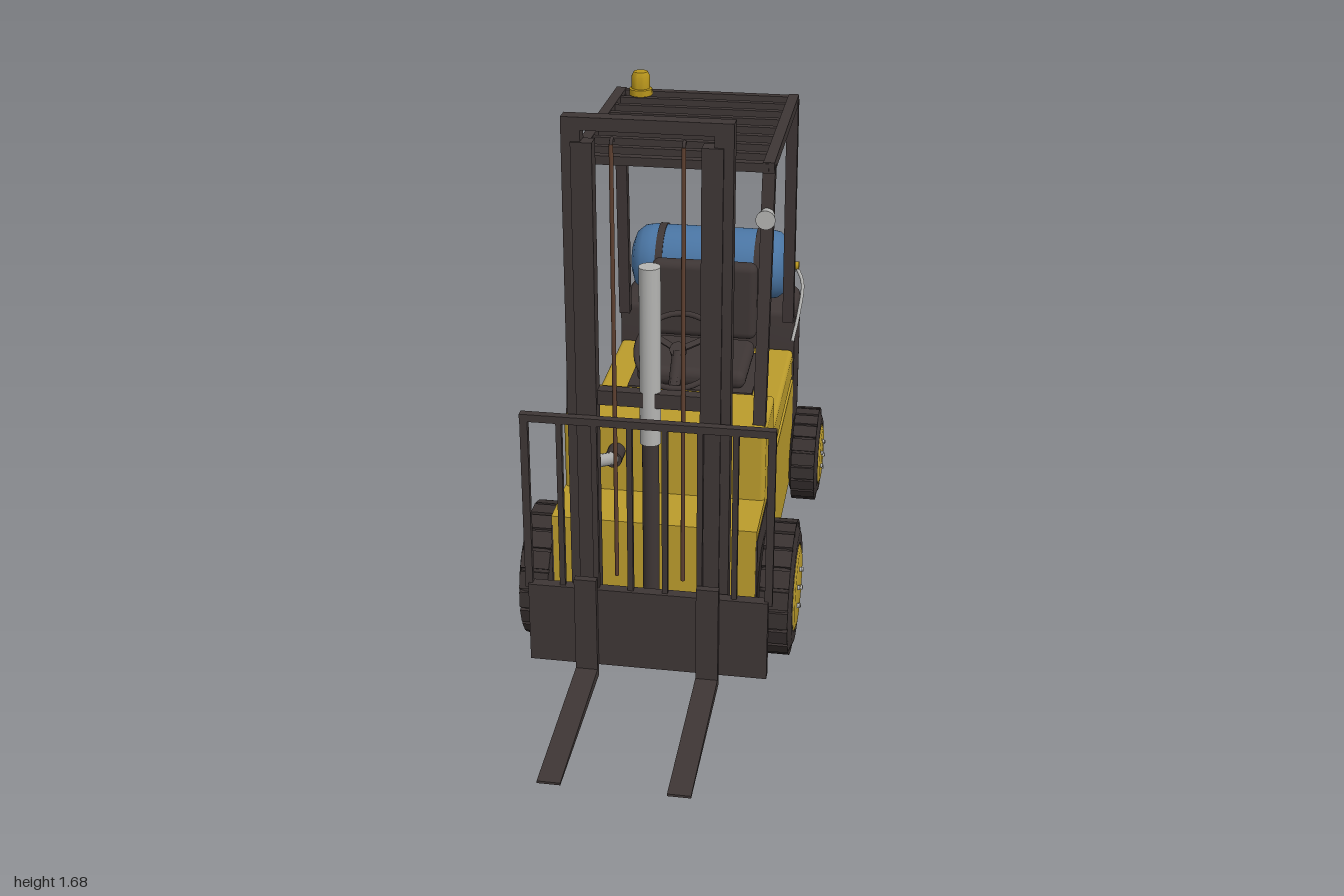
import * as THREE from 'three';
import { RoundedBoxGeometry } from 'three/addons/geometries/RoundedBoxGeometry.js';
import { toCreasedNormals } from 'three/addons/utils/BufferGeometryUtils.js';

const mat = (name, color) => Object.assign(new THREE.MeshStandardMaterial({ color }), { name });

export function createModel() {
  const yellow = mat('body yellow', 0xbb9c2c);
  const dark = mat('dark frame', 0x3e3635);
  const rubber = mat('tyre rubber', 0x383130);
  const blue = mat('tank blue', 0x4a75a3);
  const grey = mat('light grey metal', 0xb4b4b2);
  const brown = mat('chain brown', 0x5e4030);
  const amber = mat('beacon amber', 0xb8951c);

  const root = new THREE.Group();
  root.name = 'forklift';
  const add = (name, geo, m, x = 0, y = 0, z = 0, parent = root) => {
    const mesh = new THREE.Mesh(geo, m);
    mesh.name = name;
    mesh.position.set(x, y, z);
    parent.add(mesh);
    return mesh;
  };
  // Box given by its min and max on each axis, optionally rounded
  const box = (name, m, x0, x1, y0, y1, z0, z1, r = 0, parent = root) => {
    const s = [x1 - x0, y1 - y0, z1 - z0];
    const geo = r ? new RoundedBoxGeometry(...s, 3, r) : new THREE.BoxGeometry(...s);
    return add(name, geo, m, (x0 + x1) / 2, (y0 + y1) / 2, (z0 + z1) / 2, parent);
  };
  // Geometry standing on y, stretched between two points
  const between = (name, m, a, b, makeGeo) => {
    const A = new THREE.Vector3(...a), d = new THREE.Vector3(...b).sub(A);
    const mesh = add(name, makeGeo(d.length()), m);
    mesh.position.copy(A).addScaledVector(d, 0.5);
    mesh.quaternion.setFromUnitVectors(new THREE.Vector3(0, 1, 0), d.normalize());
    return mesh;
  };
  const rod = (name, m, a, b, r, r2 = r) => between(name, m, a, b, h => new THREE.CylinderGeometry(r2, r, h, 16));
  const beam = (name, m, a, b, w, d) => between(name, m, a, b, h => new THREE.BoxGeometry(w, h, d));
  const lathe = (pts, n = 40) =>
    toCreasedNormals(new THREE.LatheGeometry(pts.map(p => new THREE.Vector2(...p)), n), 0.6);

  // Chassis, cowl and seat hood
  box('chassis', yellow, -0.295, 0.295, 0.1, 0.465, -0.73, 0.36);
  box('frontDeck', yellow, -0.298, 0.298, 0.45, 0.48, 0.02, 0.363);
  box('cowl', yellow, -0.298, 0.298, 0.46, 0.715, -0.06, 0.175, 0.015);
  box('seatHood', yellow, -0.292, 0.292, 0.47, 0.58, -0.72, -0.065, 0.015);
  for (const s of [-1, 1]) box('wheelArch', dark, s * 0.296 - 0.004, s * 0.296 + 0.004, 0.15, 0.45, 0.022, 0.358);

  // Counterweight with rounded rear corners
  const cw = new THREE.Shape();
  cw.moveTo(-0.28, 0.74);
  cw.lineTo(0.28, 0.74);
  cw.lineTo(0.28, 0.92);
  cw.quadraticCurveTo(0.28, 0.985, 0.215, 0.985);
  cw.lineTo(-0.215, 0.985);
  cw.quadraticCurveTo(-0.28, 0.985, -0.28, 0.92);
  cw.closePath();
  const cwGeo = toCreasedNormals(new THREE.ExtrudeGeometry(cw, {
    depth: 0.57, bevelThickness: 0.02, bevelSize: 0.015, bevelSegments: 3, curveSegments: 8 }), 0.6);
  add('counterweight', cwGeo, dark, 0, 0.12, 0).rotation.x = -Math.PI / 2;

  // Wheels: tyre, tread blocks, hub and bolts; the wheel axis is local y, pointing outward
  const wheel = (name, s, y, z, R, hubR, x0, x1) => {
    const g = new THREE.Group();
    g.name = name;
    g.position.set(s * (x0 + x1) / 2, y, z);
    g.rotation.z = -s * Math.PI / 2;
    root.add(g);
    const w = (x1 - x0) / 2, r = R * 0.965;
    add('tyre', lathe([[0, -w], [hubR, -w], [r - 0.03, -w], [r - 0.008, -w + 0.01], [r, -w + 0.025], [r, w - 0.025],
      [r - 0.008, w - 0.01], [r - 0.03, w], [hubR + 0.005, w], [hubR, w - 0.008]]), rubber, 0, 0, 0, g);
    add('hub', lathe([[hubR + 0.001, w - 0.02], [hubR + 0.001, w], [hubR - 0.015, w + 0.005], [0, w + 0.007]]), yellow, 0, 0, 0, g);
    const n = 20;
    for (let i = 0; i < n; i++) {
      const a = i / n * Math.PI * 2;
      const block = new THREE.BoxGeometry(0.03, w * 2 - 0.018, R * Math.PI * 2 / n * 0.82);
      const b = add('treadBlock', block, rubber, Math.cos(a) * (R - 0.016), 0, Math.sin(a) * (R - 0.016), g);
      b.rotation.y = -a;
    }
    for (let i = 0; i < 6; i++) {
      const a = i / 6 * Math.PI * 2;
      add('bolt', new THREE.CylinderGeometry(0.007, 0.007, 0.012, 8), grey,
        Math.cos(a) * hubR * 0.48, w + 0.007, Math.sin(a) * hubR * 0.48, g);
    }
  };
  for (const s of [-1, 1]) {
    wheel('frontWheel', s, 0.21, 0.195, 0.2, 0.128, 0.3, 0.403);
    wheel('rearWheel', s, 0.17, -0.77, 0.16, 0.102, 0.296, 0.393);
  }

  // Mast rails, chains and tilt cylinders
  for (const s of [-1, 1]) {
    const side = (name, m, a, b, ...rest) => box(name, m, Math.min(s * a, s * b), Math.max(s * a, s * b), ...rest);
    side('outerMastRail', dark, 0.175, 0.226, 0.07, 1.69, 0.388, 0.432);
    side('innerMastRail', dark, 0.143, 0.2, 0.07, 1.625, 0.394, 0.44);
    rod('liftChain', brown, [s * 0.095, 0.34, 0.425], [s * 0.095, 1.62, 0.425], 0.006);
    const hook = add('chainHook', new THREE.TorusGeometry(0.012, 0.005, 8, 12, Math.PI), dark, s * 0.095, 1.62, 0.413);
    hook.rotation.y = Math.PI / 2;
    rod('tiltCylinder', dark, [s * 0.14, 0.61, 0.17], [s * 0.14, 0.61, 0.235], 0.026);
    rod('tiltRod', grey, [s * 0.14, 0.61, 0.225], [s * 0.175, 0.68, 0.395], 0.019);
    // Forks: upright shank and tapered blade
    side('forkShank', dark, 0.143, 0.207, 0.03, 0.355, 0.473, 0.495);
    const blade = new THREE.Shape([[0.475, 0.03], [1, 0.03], [1, 0.037], [0.495, 0.06], [0.475, 0.06]]
      .map(p => new THREE.Vector2(...p)));
    const geo = new THREE.ExtrudeGeometry(blade, { depth: 0.064, bevelEnabled: false });
    add('forkBlade', geo, dark, s * 0.175 + 0.032, 0, 0).rotation.y = -Math.PI / 2;
  }
  box('mastTopBar', dark, -0.226, 0.226, 1.655, 1.69, 0.388, 0.432);
  box('mastMiddleBar', dark, -0.18, 0.18, 0.875, 0.918, 0.39, 0.425);
  box('mastLowerBar', dark, -0.18, 0.18, 0.09, 0.16, 0.39, 0.425);
  rod('liftCylinder', dark, [0, 0.1, 0.4], [0, 0.77, 0.4], 0.024);
  rod('liftRam', grey, [0, 0.76, 0.4], [0, 1.28, 0.4], 0.03);

  // Carriage plate and load backrest
  box('carriagePlate', dark, -0.345, 0.345, 0.065, 0.315, 0.442, 0.474);
  box('backrestTop', dark, -0.356, 0.356, 0.828, 0.85, 0.443, 0.467);
  for (let i = 0; i < 8; i++) {
    const x = -0.345 + i * 0.69 / 7, w = i % 7 ? 0.008 : 0.011;
    box('backrestBar', dark, x - w, x + w, 0.3, 0.84, 0.446, 0.464);
  }

  // Overhead guard, lamps and beacon
  for (const s of [-1, 1]) {
    beam('guardFrontPost', dark, [s * 0.275, 0.7, 0.142], [s * 0.275, 1.455, 0.015], 0.036, 0.034);
    beam('guardRearPost', dark, [s * 0.275, 0.69, -0.7], [s * 0.275, 1.455, -0.655], 0.036, 0.034);
    beam('guardSideRail', dark, [s * 0.275, 1.453, 0.04], [s * 0.275, 1.453, -0.68], 0.032, 0.032);
    const lamp = add('headlamp', new THREE.CylinderGeometry(0.028, 0.022, 0.042, 24), grey, s * 0.275, 1.32, 0.078);
    lamp.rotation.x = Math.PI / 2;
  }
  for (let i = 0; i < 9; i++) {
    const z = 0.028 - i * 0.087, w = i % 8 ? 0.011 : 0.014;
    box('guardRoofBar', dark, -0.275, 0.275, 1.44, 1.466, z - w, z + w);
  }
  add('beacon', lathe([[0, 0], [0.036, 0], [0.036, 0.02], [0.029, 0.022], [0.029, 0.06], [0.022, 0.074], [0, 0.076]], 24),
    amber, -0.2, 1.468, -0.605);

  // Seat
  box('seatBase', dark, -0.2, 0.2, 0.575, 0.592, -0.64, -0.32);
  box('seatCushion', dark, -0.175, 0.175, 0.59, 0.652, -0.625, -0.335, 0.028);
  box('seatBack', dark, -0.175, 0.175, 0.64, 0.905, -0.68, -0.622, 0.026);

  // Steering wheel with spokes, column and levers
  const steering = new THREE.Group();
  steering.name = 'steeringWheel';
  steering.position.set(0, 0.825, -0.092);
  steering.rotation.x = 0.69;
  root.add(steering);
  add('rim', new THREE.TorusGeometry(0.127, 0.009, 10, 40).rotateX(Math.PI / 2), dark, 0, 0, 0, steering);
  add('wheelHub', new THREE.CylinderGeometry(0.025, 0.025, 0.02, 20), dark, 0, 0, 0, steering);
  for (let i = 0; i < 3; i++) {
    const spoke = new THREE.BoxGeometry(0.018, 0.009, 0.125).translate(0, 0, 0.0625);
    add('spoke', spoke, dark, 0, 0, 0, steering).rotation.y = i * Math.PI * 2 / 3;
  }
  rod('steeringColumn', dark, [0, 0.71, 0.02], [0, 0.82, -0.09], 0.018);
  for (const x of [0.11, 0.14, 0.17]) {
    rod('lever', dark, [x, 0.71, 0], [x, 0.855, 0.022], 0.005);
    add('leverKnob', new THREE.SphereGeometry(0.011, 12, 8), dark, x, 0.856, 0.022);
  }

  // Gas tank with straps, feet, valve and hose
  const tank = lathe([[0, -0.268], [0.055, -0.266], [0.09, -0.253], [0.111, -0.228], [0.117, -0.195], [0.117, 0.195],
    [0.111, 0.228], [0.09, 0.253], [0.055, 0.266], [0, 0.268]], 48);
  add('gasTank', tank, blue, 0, 0.84, -0.825).rotation.z = -Math.PI / 2;
  for (const x of [-0.165, 0.165]) {
    const strap = new THREE.CylinderGeometry(0.121, 0.121, 0.024, 48);
    add('tankStrap', strap, dark, x, 0.84, -0.825).rotation.z = Math.PI / 2;
    box('tankFoot', dark, x - 0.02, x + 0.02, 0.7, 0.735, -0.9, -0.75);
  }
  rod('tankValve', amber, [0.26, 0.84, -0.825], [0.295, 0.84, -0.825], 0.014);
  const hose = new THREE.CatmullRomCurve3([[0.285, 0.84, -0.825], [0.31, 0.79, -0.8], [0.305, 0.7, -0.75], [0.29, 0.615, -0.705]]
    .map(p => new THREE.Vector3(...p)));
  add('gasHose', new THREE.TubeGeometry(hose, 24, 0.006, 8), grey);

  return root;
}
